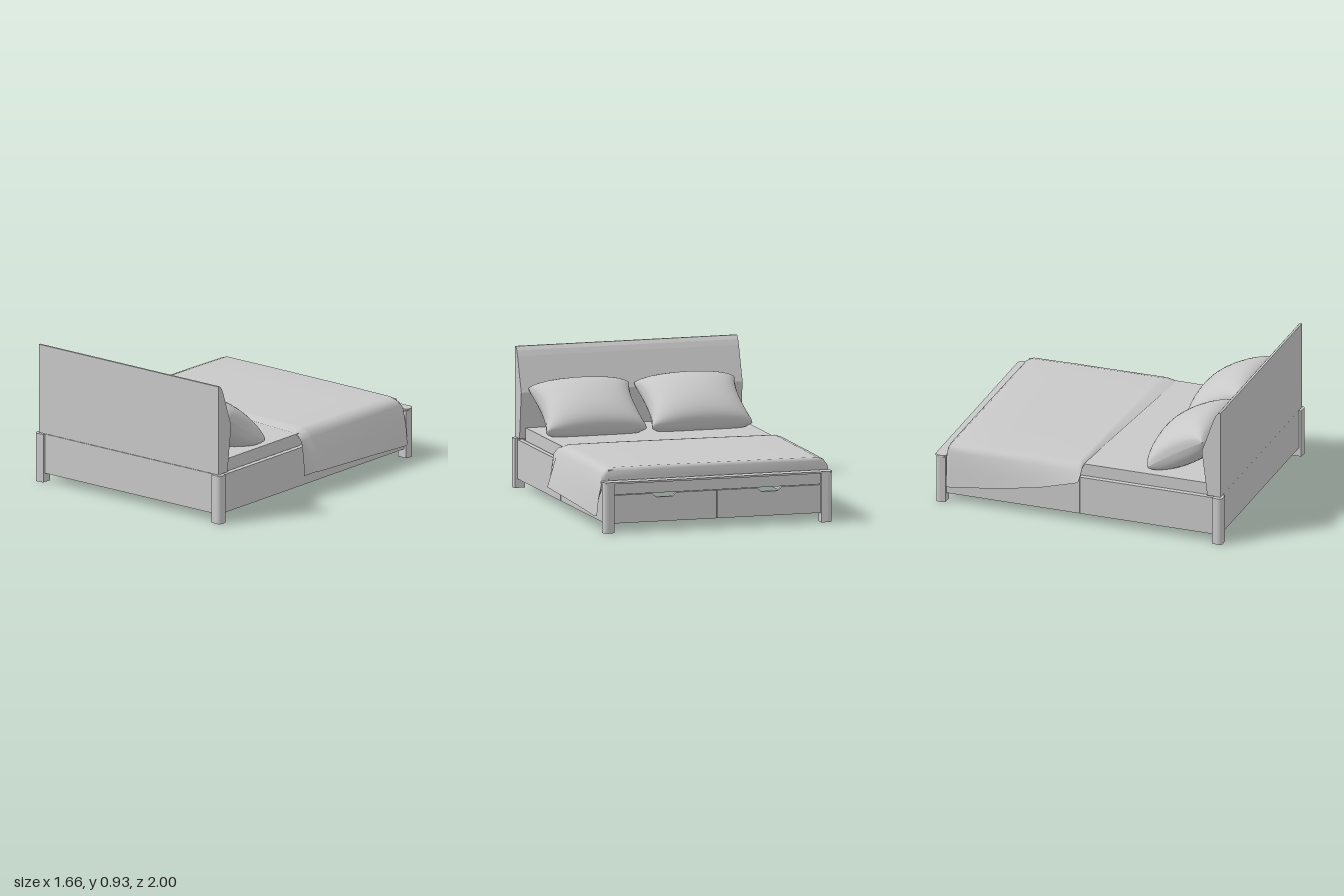
import * as THREE from 'three';

const grey = new THREE.MeshStandardMaterial({ color: 0xc8c8c8, side: THREE.DoubleSide });
grey.name = 'light grey';
const CX = -0.0125; // centre line of the frame

export function createModel() {
  const bed = new THREE.Group();
  bed.name = 'bed';

  const add = (name, geometry) => {
    const mesh = new THREE.Mesh(geometry, grey);
    mesh.name = name;
    bed.add(mesh);
    return mesh;
  };
  // box from its limits on each axis
  const box = (name, x0, x1, y0, y1, z0, z1) => {
    const g = new THREE.BoxGeometry(x1 - x0, y1 - y0, z1 - z0);
    return add(name, g.translate((x0 + x1) / 2, (y0 + y1) / 2, (z0 + z1) / 2));
  };
  const polygon = pts => new THREE.Shape(pts.map(p => new THREE.Vector2(...p)));
  const extrude = (shape, depth) => new THREE.ExtrudeGeometry(shape, { depth, bevelEnabled: false, curveSegments: 8 });
  // grid surface from rows of [x, y, z] points, smooth
  const surface = rows => {
    const n = rows[0].length, index = [];
    for (let i = 0; i < rows.length - 1; i++)
      for (let j = 0; j < n - 1; j++) {
        const a = i * n + j, b = a + n;
        index.push(a, b, a + 1, a + 1, b, b + 1);
      }
    const g = new THREE.BufferGeometry();
    g.setAttribute('position', new THREE.Float32BufferAttribute(rows.flat(2), 3));
    g.setIndex(index);
    g.computeVertexNormals();
    return g;
  };

  // legs with a rounded outer corner
  for (const sx of [-1, 1])
    for (const sz of [-1, 1]) {
      const s = new THREE.Shape();
      const P = (x, z) => [CX + sx * x, -sz * z];
      s.moveTo(...P(0.708, 0.928));
      s.lineTo(...P(0.775, 0.928));
      s.lineTo(...P(0.783, 0.965));
      s.quadraticCurveTo(...P(0.783, 0.998), ...P(0.75, 0.998));
      s.lineTo(...P(0.708, 0.992));
      s.closePath();
      add(sz > 0 ? 'headLeg' : 'footLeg', extrude(s, 0.327).rotateX(-Math.PI / 2));
    }

  // side rails, each of two boards
  for (const [x0, x1] of [[-0.772, -0.737], [0.712, 0.747]]) {
    box('sideRail', x0, x1, 0.06, 0.32, 0.0015, 0.94);
    box('sideRail', x0, x1, 0.06, 0.32, -0.94, -0.0015);
  }

  // head rail and wedge-shaped headboard
  box('headRail', -0.73, 0.705, 0.06, 0.327, 0.945, 0.978);
  const profile = polygon([[0.98, 0.33], [0.98, 0.93], [0.965, 0.93], [0.945, 0.905],
    [0.93, 0.87], [0.85, 0.64], [0.888, 0.33]]);
  add('headboard', extrude(profile, 1.515).rotateY(-Math.PI / 2).translate(0.745, 0, 0));

  // foot rail, rounded cap and two drawer fronts with finger cutouts
  box('footRail', -0.73, 0.705, 0.25, 0.325, -0.975, -0.945);
  const cap = polygon([[-0.8, 0.935], [-0.8, 0.975], [-0.78, 1], [0.755, 1], [0.775, 0.975],
    [0.775, 0.935], [0.76, 0.922], [-0.785, 0.922]]);
  add('footCap', extrude(cap, 0.012).rotateX(-Math.PI / 2).translate(0, 0.324, 0));
  for (const s of [-1, 1]) {
    const a = 0.002, b = 0.717, m = 0.36, top = 0.246;
    const front = polygon([[a, 0.06], [b, 0.06], [b, top], [m + 0.085, top], [m + 0.055, top - 0.025],
      [m - 0.055, top - 0.025], [m - 0.085, top], [a, top]].map(([x, y]) => [CX + s * x, y]));
    add('drawerFront', extrude(front, 0.022).translate(0, 0, -0.972));
  }

  // slat base and mattress
  box('bedBase', -0.737, 0.712, 0.285, 0.315, -0.945, 0.945);
  box('mattress', -0.735, 0.705, 0.315, 0.402, -0.9, 0.89);

  // duvet sections: z on each side, top height, left and right hem (x, y)
  const sections = [
    [-0.91, -0.885, 0.32, -0.8, 0.13, 0.785, 0.12],
    [-0.918, -0.91, 0.395, -0.805, 0.12, 0.79, 0.105],
    [-0.895, -0.875, 0.416, -0.808, 0.12, 0.797, 0.1],
    [-0.6, -0.58, 0.42, -0.815, 0.16, 0.806, 0.118],
    [-0.28, -0.25, 0.421, -0.825, 0.22, 0.818, 0.135],
    [-0.01, 0.03, 0.423, -0.834, 0.3, 0.829, 0.15],
    [0.01, 0.065, 0.421, -0.834, 0.31, 0.805, 0.145],
    [0.013, 0.14, 0.405, -0.832, 0.31, 0.775, 0.13],
  ];
  add('duvet', surface(sections.map(([zl, zr, t, xl, yl, xr, yr]) => {
    const mid = (p, q) => (p + q) / 2;
    const hang = Math.min(t - 0.05, 0.365);
    return [
      [xl, yl], [mid(xl, -0.79), mid(yl, hang)], [-0.79, hang], [-0.765, t - 0.015], [-0.72, t],
      [-0.35, t + 0.002], [0, t + 0.002], [0.35, t + 0.002], [0.67, t], [0.72, t - 0.015],
      [0.752, hang], [mid(xr, 0.765), mid(yr, hang)], [xr, yr],
    ].map(([x, y]) => [x, y, THREE.MathUtils.lerp(zl, zr, (x + 0.83) / 1.66)]);
  })));

  // pillows: two domed faces meeting at a pinched rim, leaning on the headboard
  const pillowFace = side => {
    const rows = [], N = 20;
    for (let i = 0; i <= N; i++) {
      const row = [];
      for (let j = 0; j <= N; j++) {
        const u = Math.sin((j / N - 0.5) * Math.PI) * side, v = Math.sin((i / N - 0.5) * Math.PI);
        const puff = Math.pow(Math.max(0, (1 - u * u) * (1 - v * v)), 0.36);
        row.push([
          0.345 * u * (1 - 0.11 * (1 - v * v)),
          side * 0.152 * puff,
          0.24 * v * (1 - 0.06 * Math.pow(u, 4)),
        ]);
      }
      rows.push(row);
    }
    return surface(rows);
  };
  for (const x of [-0.365, 0.358]) {
    const pillow = new THREE.Group();
    pillow.name = 'pillow';
    for (const side of [1, -1]) {
      const face = new THREE.Mesh(pillowFace(side), grey);
      face.name = side > 0 ? 'pillowTop' : 'pillowBottom';
      pillow.add(face);
    }
    pillow.rotation.x = -0.55;
    pillow.position.set(x, 0.553, 0.64);
    bed.add(pillow);
  }
  return bed;
}
